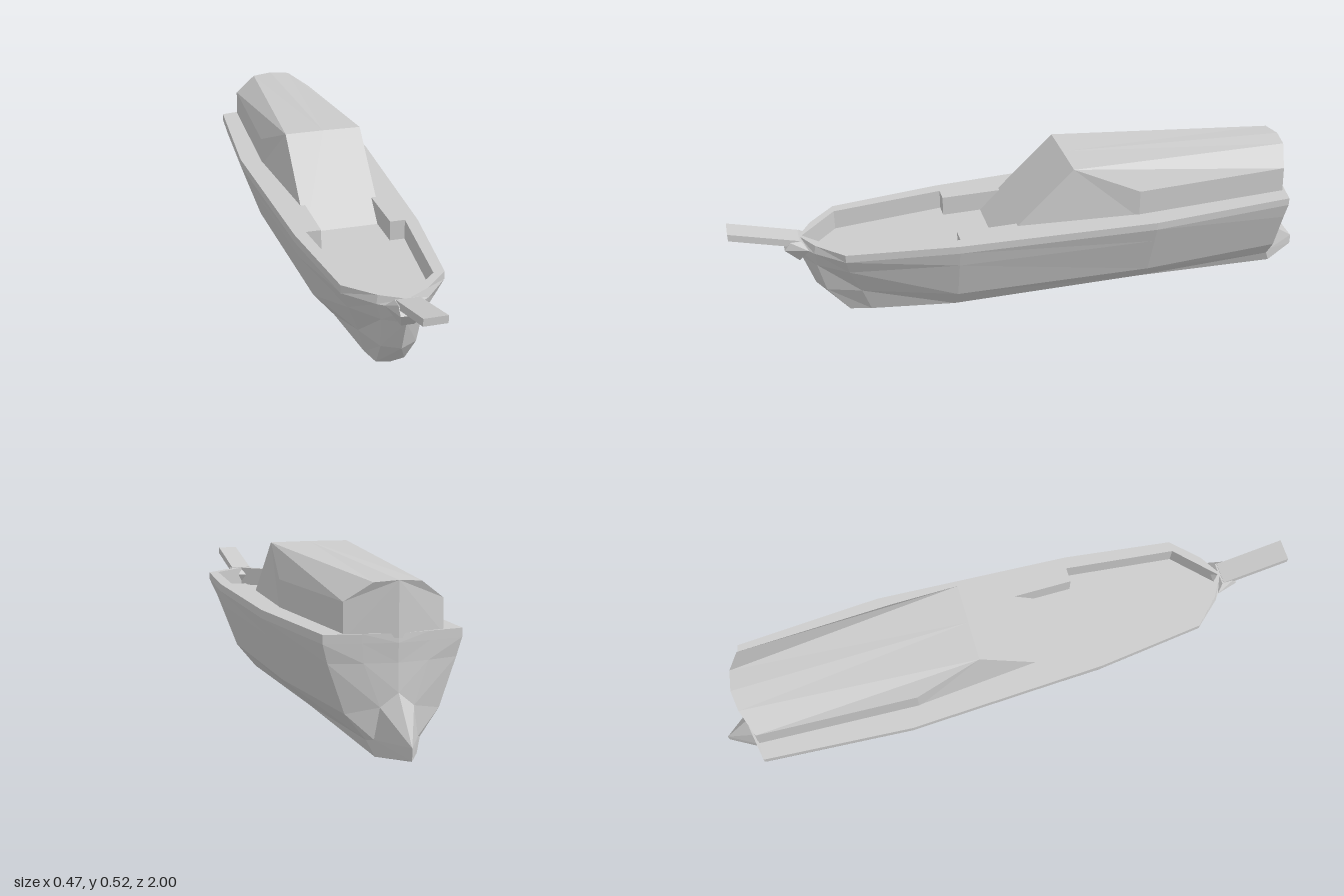
import * as THREE from 'three';
import { ConvexGeometry } from 'three/addons/geometries/ConvexGeometry.js';

const material = (side = THREE.FrontSide) =>
  new THREE.MeshStandardMaterial({ color: 0xcccccc, flatShading: true, side });

// Fan-triangulates polygons of the +x half and mirrors them to -x.
function mirroredGeometry(polygons) {
  const positions = [];
  const triangle = new THREE.Triangle();
  for (const poly of polygons) {
    for (let k = 1; k < poly.length - 1; k++) {
      const t = [poly[0], poly[k], poly[k + 1]];
      triangle.set(...t.map((p) => new THREE.Vector3(...p)));
      if (triangle.getArea() < 1e-8) continue;
      for (const p of t) positions.push(...p);
      for (const p of [t[0], t[2], t[1]]) positions.push(-p[0], p[1], p[2]);
    }
  }
  const geometry = new THREE.BufferGeometry();
  geometry.setAttribute('position', new THREE.Float32BufferAttribute(positions, 3));
  geometry.computeVertexNormals();
  return geometry;
}

export function createModel() {
  const boat = new THREE.Group();
  boat.name = 'boat';
  const add = (name, geometry, side) => {
    const mesh = new THREE.Mesh(geometry, material(side));
    mesh.name = name;
    boat.add(mesh);
    return mesh;
  };

  // Hull: half cross-sections from stem to stern, each listed rim to keel as x, y, z rows
  const deckY = 0.343, floorY = 0.276;
  const stations = [
    { x: [0, 0, 0, 0, 0, 0, 0], y: [deckY, 0.317, 0.262, 0.157, 0.06, 0.056, 0.056], z: [0.78, 0.8, 0.775, 0.74, 0.65, 0.645, 0.64] },
    { x: [0.075, 0.08, 0.063, 0.055, 0.045, 0.03, 0], y: [deckY, 0.317, 0.262, 0.157, 0.06, 0.055, 0.055], z: [0.735, 0.74, 0.735, 0.71, 0.64, 0.635, 0.63] },
    { x: [0.16, 0.16, 0.135, 0.09, 0.06, 0.035, 0], y: [deckY, 0.317, 0.262, 0.155, 0.058, 0.05, 0.05], z: [0.65, 0.65, 0.64, 0.6, 0.57, 0.57, 0.57] },
    { x: [0.205, 0.205, 0.19, 0.145, 0.075, 0.04, 0], y: [deckY, 0.317, 0.262, 0.12, 0.036, 0.027, 0.022], z: Array(7).fill(0.29) },
    { x: [0.237, 0.237, 0.218, 0.168, 0.082, 0.045, 0], y: [deckY, 0.317, 0.262, 0.12, 0.035, 0.026, 0.02], z: Array(7).fill(-0.37) },
    { x: [0.205, 0.205, 0.19, 0.14, 0.08, 0.062, 0], y: [deckY, 0.317, 0.262, 0.12, 0.045, 0.002, 0.008], z: [-0.86, -0.86, -0.855, -0.855, -0.865, -0.88, -0.88] },
    { x: [0.1, 0.1, 0.095, 0.05, 0.065, 0.062, 0], y: [deckY, 0.317, 0.262, 0.14, 0.05, 0.002, 0.008], z: [-0.88, -0.88, -0.88, -0.89, -0.885, -0.885, -0.885] },
    { x: [0, 0, 0, 0, 0, 0, 0], y: [deckY, 0.317, 0.262, 0.18, 0.05, 0.015, 0.012], z: [-0.895, -0.897, -0.895, -0.9, -1, -1, -0.995] },
  ].map((s) => s.x.map((x, j) => [x, s.y[j], s.z[j]]));
  const hullFaces = [];
  for (let i = 0; i < stations.length - 1; i++) {
    for (let j = 0; j < 6; j++) {
      const [a, b] = [stations[i], stations[i + 1]];
      hullFaces.push([a[j], a[j + 1], b[j + 1], b[j]]);
    }
  }
  add('hull', mirroredGeometry(hullFaces));

  // Deck with the opening of the sunken foredeck
  const closed = (half) => [
    ...half,
    ...half.filter(([x]) => x > 0).reverse().map(([x, z]) => [-x, z]),
  ].map(([x, z]) => new THREE.Vector2(x, z));
  const outer = closed(stations.map((s) => [s[0][0], s[0][2]]));
  const well = [[0, 0.77], [0.125, 0.65], [0.165, 0.28], [0.115, 0.28], [0.115, 0], [0, 0]];
  const deckShape = new THREE.Shape(outer);
  deckShape.holes.push(new THREE.Path(closed(well)));
  const flat = (shape, y) => new THREE.ShapeGeometry(shape).rotateX(Math.PI / 2).translate(0, y, 0);
  add('deck', flat(deckShape, deckY), THREE.DoubleSide);
  add('foredeckFloor', flat(new THREE.Shape(closed(well)), floorY), THREE.DoubleSide);

  // Bulwark walls round the foredeck
  const walls = [];
  for (let i = 0; i < well.length - 2; i++) {
    const [[x0, z0], [x1, z1]] = [well[i], well[i + 1]];
    walls.push([[x0, floorY, z0], [x0, deckY, z0], [x1, deckY, z1], [x1, floorY, z1]]);
  }
  add('bulwark', mirroredGeometry(walls), THREE.DoubleSide);

  // Cabin: raked front, chamfered shoulders, slightly crowned roof
  const frontTop = [0, 0.526, -0.11], frontCorner = [0.131, 0.525, -0.11];
  const footMid = [0, floorY, 0.15], foot = [0.131, floorY, 0.15];
  const shoulder = [0.168, 0.43, -0.33], sideFoot = [0.168, 0.33, -0.33];
  const rearShoulder = [0.147, 0.43, -0.857], rearFoot = [0.147, 0.33, -0.862];
  const rearTop = [0.07, 0.483, -0.885], rearRidge = [0, 0.488, -0.895], rearBase = [0, 0.33, -0.897];
  add('cabin', mirroredGeometry([
    [frontTop, footMid, foot, frontCorner],
    [frontTop, frontCorner, rearTop, rearRidge],
    [frontCorner, shoulder, rearShoulder, rearTop],
    [frontCorner, foot, sideFoot, shoulder],
    [shoulder, sideFoot, rearFoot, rearShoulder],
    [rearRidge, rearTop, rearShoulder, rearFoot, rearBase],
  ]));

  // Prow bracket and the rising bowsprit
  const convex = (half) => new ConvexGeometry(
    half.flatMap(([x, y, z]) => [new THREE.Vector3(x, y, z), new THREE.Vector3(-x, y, z)]));
  add('prow', convex([[0.038, 0.343, 0.775], [0.038, 0.343, 0.81], [0.038, 0.317, 0.83], [0.02, 0.262, 0.785], [0.06, 0.317, 0.755]]));
  add('bowsprit', convex([[0.036, 0.345, 0.78], [0.036, 0.32, 0.78], [0.036, 0.405, 1], [0.036, 0.381, 1]]));

  return boat;
}
